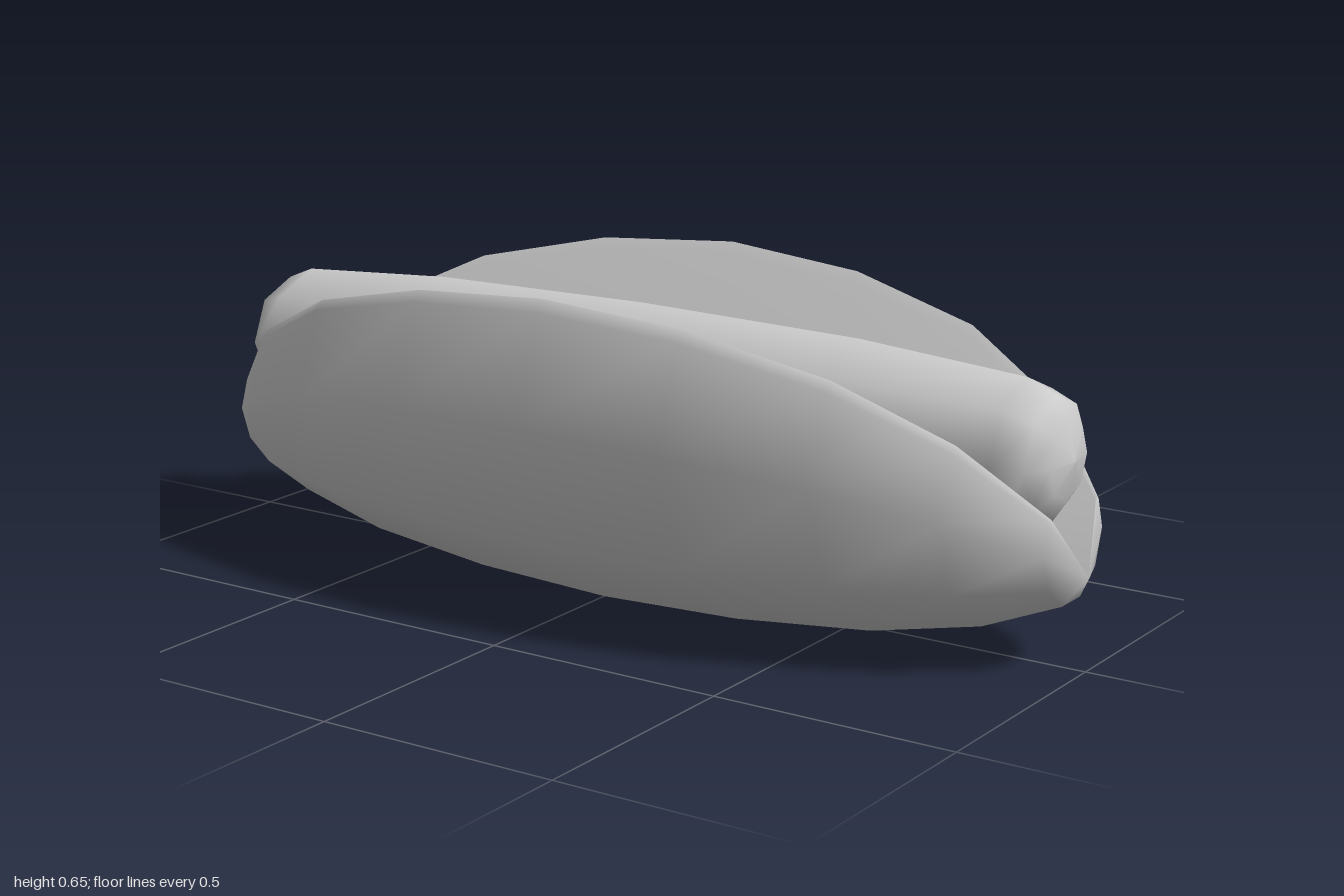
import * as THREE from 'three';
import { mergeVertices, toCreasedNormals } from 'three/addons/utils/BufferGeometryUtils.js';

const VALLEY = 0.185; // height of the fold line the bun sections shrink towards

// Bun stations along x: [x, section scale]
const half = [[0.31, 0.95], [0.6, 0.81], [0.82, 0.58], [0.965, 0.28], [1, 0]];
const stations = [...half.map(([x, s]) => [-x, s]).reverse(), [0, 1], ...half];

// Lofts one [z, y] section through all stations, closing to a point at each end
function loft(section) {
  const positions = [], index = [], n = section.length;
  for (const [x, s] of stations) {
    for (const [z, y] of section) positions.push(x, VALLEY + (y - VALLEY) * s, z * s);
  }
  for (let i = 0; i < stations.length - 1; i++) {
    for (let j = 0; j < n - 1; j++) {
      const a = i * n + j, b = a + n;
      if (i > 0) index.push(a, a + 1, b);
      if (i < stations.length - 2) index.push(a + 1, b + 1, b);
    }
  }
  const geometry = new THREE.BufferGeometry();
  geometry.setAttribute('position', new THREE.Float32BufferAttribute(positions, 3));
  geometry.setIndex(index);
  const merged = mergeVertices(geometry, 1e-5);
  merged.computeVertexNormals();
  return merged;
}

const mirror = (points) => points.map(([z, y]) => [-z, y]).reverse();

export function createModel() {
  const model = new THREE.Group();
  model.name = 'hotDog';
  const material = new THREE.MeshStandardMaterial({ color: 0xcccccc, side: THREE.DoubleSide });
  const add = (parent, name, geometry) => {
    const mesh = new THREE.Mesh(geometry, material);
    mesh.name = name;
    parent.add(mesh);
    return mesh;
  };

  // Bun: smooth outer crust and a V-shaped cut with narrow rims
  const bun = new THREE.Group();
  bun.name = 'bun';
  model.add(bun);
  const crust = [[0.335, 0.65], [0.36, 0.628], [0.43, 0.415], [0.347, 0.162], [0.133, 0.003]];
  add(bun, 'bunCrust', loft([...crust, ...mirror(crust)]));
  const cut = [[-0.335, 0.65], [-0.315, 0.63]];
  add(bun, 'bunCut', toCreasedNormals(loft([...cut, [0, VALLEY], ...mirror(cut)]), 0.5));

  // Sausage: eight-sided lathe with rounded ends, laid along x
  const end = [[0.18, 0], [0.172, 0.5], [0.147, 0.86], [0.122, 0.92], [0.075, 0.95], [0, 0.963]];
  const profile = [
    ...end.slice(1).map(([r, x]) => new THREE.Vector2(r, -x)).reverse(),
    ...end.map(([r, x]) => new THREE.Vector2(r, x)),
  ];
  const sausage = add(model, 'sausage', new THREE.LatheGeometry(profile, 8));
  sausage.rotation.z = -Math.PI / 2;
  sausage.position.y = 0.402;

  return model;
}
